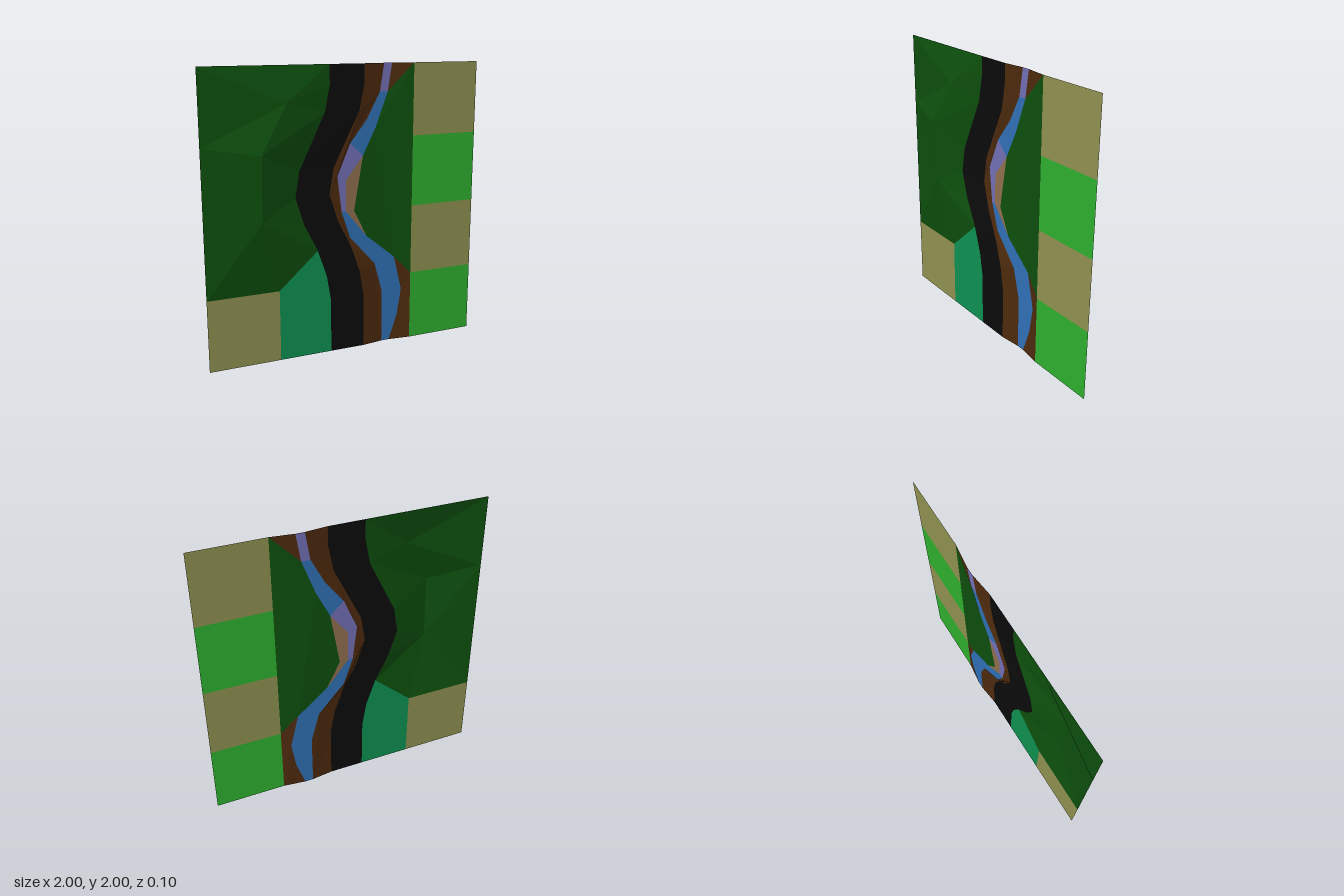
import * as THREE from 'three';

const BASE = -0.03, BED = -0.05;

// Adds z to flat [x, y] points
const at = (z, pts) => pts.map(([x, y, own]) => [x, y, own ?? z]);

// Flat-shaded sheet from 3D corners and triangles; triangulates the outline if none are given
function patch(name, color, pts, faces) {
  const flat = pts.map(([x, y]) => new THREE.Vector2(x, y));
  const tris = faces ?? THREE.ShapeUtils.triangulateShape(flat, []);
  const pos = [];
  for (const [a, b, c] of tris) {
    const ab = flat[b].clone().sub(flat[a]), ac = flat[c].clone().sub(flat[a]);
    const order = ab.cross(ac) > 0 ? [a, b, c] : [a, c, b];
    order.forEach(i => pos.push(...pts[i]));
  }
  const geo = new THREE.BufferGeometry();
  geo.setAttribute('position', new THREE.Float32BufferAttribute(pos, 3));
  geo.computeVertexNormals();
  const mesh = new THREE.Mesh(geo, new THREE.MeshStandardMaterial({ color, flatShading: true, side: THREE.DoubleSide }));
  mesh.name = name;
  return mesh;
}

// Ribbon between two edges with equal point counts
function ribbon(name, color, left, right) {
  const n = left.length, faces = [];
  for (let i = 0; i < n - 1; i++) faces.push([i, i + 1, n + i], [i + 1, n + i + 1, n + i]);
  return patch(name, color, [...left, ...right], faces);
}

export function createModel() {
  const model = new THREE.Group();
  model.name = 'terrainTile';
  const TAN = 0x8f9050, GREEN = 0x2eaf2e, FOREST = 0x0d4f0d, BROWN = 0x4d2a0d, BLUE = 0x2f6fb5, SHALLOW = 0x726fb5;

  // Fields: a column on the right and one in the lower left corner
  const field = (name, color, x, y) =>
    model.add(patch(name, color, at(BASE, [[x, y], [x + 0.5, y], [x + 0.5, y + 0.5], [x, y + 0.5]])));
  for (let i = 0; i < 4; i++) field(`rightField${i + 1}`, i % 2 ? TAN : GREEN, 0.5, i * 0.5);
  field('leftField', TAN, -1, 0);

  // Winding road of constant width, tilting towards the river in the bend
  const centre = [[0, 2], [0, 1.87], [-0.035, 1.69], [-0.22, 1.31], [-0.25, 1.13], [-0.19, 0.94],
    [-0.095, 0.75], [-0.03, 0.56], [0, 0.38], [0, 0]];
  const dip = [0, 0, 0.003, 0.015, 0.016, 0.01, 0.003, 0, 0, 0];
  const roadL = centre.map(([x, y], i) => [x - 0.125, y, BASE - dip[i] * 0.2]);
  const roadR = centre.map(([x, y], i) => [x + 0.125, y, BASE - dip[i]]);
  model.add(ribbon('road', 0x0b0b0b, roadL, roadR));

  // Meadow beside the road
  model.add(patch('meadow', 0x0e9050, [...at(BASE, [[-0.5, 0.5], [-0.5, 0]]), ...roadL.slice(6).reverse()]));

  // Wooded hill: corners 0-6 road edge, 7-10 outer edge, 11-13 summits
  const hill = [...roadL.slice(0, 7), ...at(BASE, [[-0.5, 0.5], [-1, 0.5], [-1, 1.5], [-1, 2],
    [-0.44, 1.76, 0.01], [-0.625, 1.44, 0.05], [-0.625, 1, 0.03]])];
  model.add(patch('woodedHill', FOREST, hill, [
    [11, 10, 9], [11, 10, 0], [11, 0, 1], [11, 1, 2], [11, 2, 12], [11, 12, 9], [12, 2, 3], [12, 3, 4],
    [12, 13, 9], [12, 13, 4], [13, 4, 5], [13, 5, 6], [13, 6, 7], [13, 7, 8], [13, 8, 9]]));

  // River edges from top to bottom
  const riverL = at(BED, [[0.28, 2], [0.25, 1.81], [0.155, 1.63], [0.03, 1.47], [-0.065, 1.25], [-0.035, 1],
    [0.03, 0.81], [0.22, 0.6], [0.28, 0.38], [0.28, 0.19], [0.28, 0]]);
  const riverR = at(BED, [[0.34, 2], [0.31, 1.81], [0.22, 1.57], [0.125, 1.38], [0, 1.22], [0, 1],
    [0.155, 0.81], [0.375, 0.63], [0.435, 0.38], [0.405, 0.19], [0.34, 0]]);
  for (const [name, color, a, b] of [['upperShallows', SHALLOW, 0, 1], ['upperRiver', BLUE, 1, 3],
    ['middleShallows', SHALLOW, 3, 5], ['lowerRiver', BLUE, 5, 10]])
    model.add(ribbon(name, color, riverL.slice(a, b + 1), riverR.slice(a, b + 1)));

  // Banks and sandbar
  model.add(patch('leftBank', BROWN, [...roadR, ...riverL.slice().reverse()]));
  const sandEdge = [0.06, 1, BED];
  model.add(patch('sandbar', 0x8f6f4d, [...riverR.slice(3, 7), sandEdge]));
  const top = [0.5, 2, BASE], bend = [0.5, 0.5, BASE];
  model.add(patch('upperRightBank', BROWN, [riverR[0], riverR[1], top]));
  model.add(patch('lowerRightBank', BROWN, [...riverR.slice(7), [0.5, 0, BASE], bend]));

  // Forest between river and fields
  model.add(patch('riversideForest', FOREST, [top, ...riverR.slice(1, 4), sandEdge, riverR[6], riverR[7], bend]));
  return model;
}
